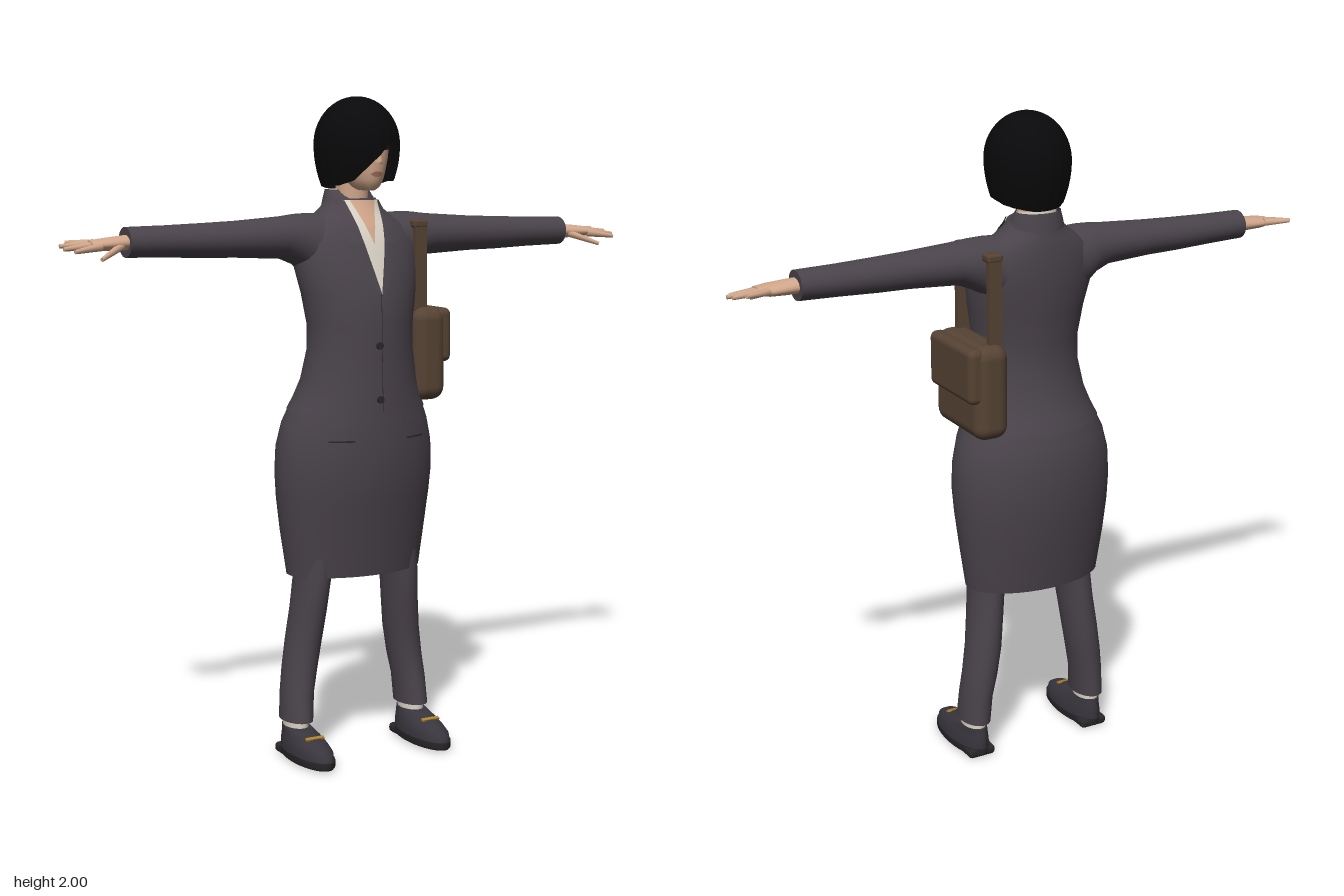
import * as THREE from 'three';
import { RoundedBoxGeometry } from 'three/addons/geometries/RoundedBoxGeometry.js';

const mat = (name, color, side = THREE.FrontSide) => {
  const m = new THREE.MeshStandardMaterial({ color, side });
  m.name = name;
  return m;
};
const suit = mat('suit cloth', 0x4a434b, THREE.DoubleSide);
const shoeLeather = mat('shoe leather', 0x39353d);
const skin = mat('skin', 0xd0a68a);
const cream = mat('cream shirt', 0xdad2c6, THREE.DoubleSide);
const black = mat('black hair', 0x09090b, THREE.DoubleSide);
const brown = mat('bag leather', 0x564334);
const dark = mat('dark trim', 0x2a262b);
const gold = mat('gold trim', 0xb0822f);
const lip = mat('lips', 0xa86f60);

const { lerp } = THREE.MathUtils;

function geometry(pos, idx) {
  const g = new THREE.BufferGeometry();
  g.setAttribute('position', new THREE.Float32BufferAttribute(pos, 3));
  g.setIndex(idx);
  g.computeVertexNormals();
  return g;
}

// Elliptical cross-sections [y, x0, x1, z0, z1], listed from bottom to top
function loft(rows, capped = true, n = 40) {
  const pos = [], idx = [];
  const ring = ([y, x0, x1, z0, z1]) => {
    for (let j = 0; j < n; j++) {
      const a = (j / n) * Math.PI * 2;
      pos.push((x0 + x1 + (x1 - x0) * Math.cos(a)) / 2, y, (z0 + z1 + (z1 - z0) * Math.sin(a)) / 2);
    }
  };
  rows.forEach(ring);
  for (let i = 0; i < rows.length - 1; i++) for (let j = 0; j < n; j++) {
    const a = i * n + j, b = i * n + (j + 1) % n;
    idx.push(a, a + n, b, b, a + n, b + n);
  }
  if (capped) [rows[0], rows[rows.length - 1]].forEach((row, top) => {
    const s = pos.length / 3;
    ring(row);
    for (let j = 1; j < n - 1; j++) idx.push(s, s + j + (top ? 1 : 0), s + j + (top ? 0 : 1));
  });
  return geometry(pos, idx);
}

// Front z of a lofted body at (x, y)
function frontZ(rows, x, y) {
  let i = 0;
  while (i < rows.length - 2 && y > rows[i + 1][0]) i++;
  const t = (y - rows[i][0]) / (rows[i + 1][0] - rows[i][0]);
  const [x0, x1, z0, z1] = [1, 2, 3, 4].map(k => lerp(rows[i][k], rows[i + 1][k], t));
  const u = (2 * x - x0 - x1) / (x1 - x0);
  return (z0 + z1 + (z1 - z0) * Math.sqrt(Math.max(0, 1 - u * u))) / 2;
}

// Thin patch that follows the front of a lofted body, outline rows [y, x0, x1]
function patch(body, outline, lift) {
  const pos = [], idx = [], W = 9, S = 6;
  for (let r = 0; r <= (outline.length - 1) * S; r++) {
    const i = Math.min(Math.floor(r / S), outline.length - 2), t = r / S - i;
    const [y, a, b] = [0, 1, 2].map(k => lerp(outline[i][k], outline[i + 1][k], t));
    for (let j = 0; j < W; j++) {
      const x = lerp(a, b, j / (W - 1));
      pos.push(x, y, frontZ(body, x, y) + lift);
      if (r && j) {
        const q = r * W + j;
        idx.push(q - W - 1, q - W, q - 1, q - 1, q - W, q);
      }
    }
  }
  return geometry(pos, idx);
}

// Tapered round piece between two points
function taper(a, b, r0, r1) {
  const A = new THREE.Vector3(...a), d = new THREE.Vector3(...b).sub(A);
  const g = new THREE.CylinderGeometry(r1, r0, d.length(), 10);
  g.translate(0, d.length() / 2, 0);
  g.applyQuaternion(new THREE.Quaternion().setFromUnitVectors(new THREE.Vector3(0, 1, 0), d.normalize()));
  return g.translate(A.x, A.y, A.z);
}

function box(w, h, d, x, y, z, r = 0) {
  const g = r ? new RoundedBoxGeometry(w, h, d, 4, r) : new THREE.BoxGeometry(w, h, d);
  return g.translate(x, y, z);
}

function mirrored(geo) {
  const g = geo.clone().scale(-1, 1, 1);
  const src = g.index ? Array.from(g.index.array) : Array.from({ length: g.attributes.position.count }, (_, i) => i);
  for (let i = 0; i < src.length; i += 3) [src[i], src[i + 1]] = [src[i + 1], src[i]];
  g.setIndex(src);
  return g;
}

// Bobbed hair: a cap whose lower edge rises over one side of the face
function hairGeometry() {
  const edge = [[0, 1.75], [32, 1.75], [45, 1.9], [80, 1.845], [125, 1.755], [150, 1.74], [200, 1.74], [270, 1.72], [340, 1.74], [360, 1.75]];
  const pos = [], idx = [], N = 120, M = 18;
  for (let i = 0; i <= M; i++) for (let j = 0; j < N; j++) {
    const deg = j * 360 / N, a = deg * Math.PI / 180;
    const k = edge.findIndex(e => e[0] > deg), [p, q] = [edge[k - 1], edge[k]];
    const low = lerp(p[1], q[1], (deg - p[0]) / (q[0] - p[0]));
    const y = 2 - (2 - low) * (1 - Math.cos(i / M * Math.PI / 2));
    const v = y - 1.86;
    let f = v > 0 ? Math.sqrt(Math.max(0, 1 - (v / 0.14) ** 2)) : 1 - 0.2 * (v / 0.13) ** 2;
    f *= 1 + 0.012 * Math.cos(a * 20) * i / M;
    pos.push(-0.01 + 0.125 * f * Math.cos(a), y, 0.017 + 0.137 * f * Math.sin(a));
    if (i) {
      const c = i * N + j, d = i * N + (j + 1) % N;
      idx.push(c, c - N, d, d, c - N, d - N);
    }
  }
  return geometry(pos, idx);
}

export function createModel() {
  const model = new THREE.Group();
  model.name = 'woman in suit';
  const add = (name, geo, material) => {
    const m = new THREE.Mesh(geo, material);
    m.name = name;
    model.add(m);
  };
  const pair = (name, geo, material) => {
    add(name + 'Left', geo, material);
    add(name + 'Right', mirrored(geo), material);
  };
  const sym = ([y, r, zf, zb]) => [y, -r, r, zb, zf];

  // Skirt and jacket
  const skirt = [[0.565, 0.222, 0.105, -0.153], [0.7, 0.241, 0.124, -0.175], [0.8, 0.252, 0.143, -0.19],
    [0.88, 0.257, 0.155, -0.196], [0.96, 0.253, 0.157, -0.195], [1.03, 0.236, 0.156, -0.185], [1.1, 0.205, 0.153, -0.16]].map(sym);
  const jacket = [[1.07, 0.221, 0.158, -0.174], [1.11, 0.202, 0.157, -0.158], [1.16, 0.185, 0.155, -0.135], [1.25, 0.168, 0.152, -0.115],
    [1.33, 0.168, 0.152, -0.115], [1.42, 0.183, 0.146, -0.125], [1.5, 0.2, 0.122, -0.135], [1.57, 0.2, 0.1, -0.135],
    [1.62, 0.172, 0.077, -0.132], [1.65, 0.125, 0.058, -0.127], [1.675, 0.092, 0.045, -0.122], [1.7, 0.078, 0.034, -0.118]].map(sym);
  add('skirt', loft(skirt, false), suit);
  add('jacket', loft(jacket), suit);
  add('jacketCollar', loft([[1.67, -0.088, 0.088, -0.124, 0.03], [1.7, -0.08, 0.08, -0.12, 0.015], [1.725, -0.07, 0.07, -0.115, -0.01]], false), suit);

  // Open neckline, lapels, pockets and buttons
  add('shirtFront', patch(jacket, [[1.42, -0.002, 0.002], [1.56, -0.036, 0.036], [1.695, -0.06, 0.06]], 0.005), cream);
  add('throat', patch(jacket, [[1.57, -0.001, 0.001], [1.64, -0.022, 0.022], [1.695, -0.042, 0.042]], 0.008), skin);
  pair('lapel', patch(jacket, [[1.42, 0, 0.008], [1.56, 0.032, 0.09], [1.585, 0.037, 0.07], [1.695, 0.056, 0.077]], 0.011), suit);
  pair('pocketFlap', patch(skirt, [[0.99, 0.09, 0.16], [1.05, 0.09, 0.16]], 0.005), suit);
  pair('pocketEdge', patch(skirt, [[0.986, 0.088, 0.162], [0.991, 0.088, 0.162]], 0.006), dark);
  add('frontSeam', patch(jacket, [[1.075, -0.001, 0.001], [1.42, -0.001, 0.001]], 0.004), dark);
  for (const y of [1.11, 1.27]) {
    add('button', new THREE.CylinderGeometry(0.011, 0.011, 0.008, 16).rotateX(Math.PI / 2).translate(-0.008, y, frontZ(jacket, 0, y) + 0.004), dark);
  }

  // Sleeves and cuffs, lofted upright then laid along x: [x, yLow, yHigh, zBack, zFront]
  const sideways = rows => loft(rows.map(([x, lo, hi, b, f]) => [x, -hi, -lo, b, f])).rotateZ(-Math.PI / 2);
  pair('sleeve', sideways([[0.1, 1.45, 1.655, -0.11, 0.06], [0.16, 1.47, 1.658, -0.105, 0.055], [0.2, 1.505, 1.656, -0.097, 0.05],
    [0.25, 1.525, 1.65, -0.088, 0.049], [0.4, 1.533, 1.64, -0.076, 0.045], [0.5, 1.535, 1.636, -0.072, 0.04],
    [0.62, 1.54, 1.632, -0.067, 0.036], [0.742, 1.543, 1.63, -0.062, 0.035]]), suit);

  // Hands
  pair('palm', sideways([[0.72, 1.565, 1.61, -0.045, 0.02], [0.77, 1.563, 1.605, -0.043, 0.028],
    [0.82, 1.565, 1.6, -0.044, 0.036], [0.855, 1.57, 1.595, -0.036, 0.03]]), skin);
  const fingers = [[[0.83, 1.585, -0.033], [0.905, 1.588, -0.062]], [[0.84, 1.584, -0.014], [0.933, 1.58, -0.028]],
    [[0.84, 1.582, 0.006], [0.935, 1.573, 0.012]], [[0.83, 1.578, 0.025], [0.915, 1.567, 0.048]], [[0.765, 1.578, 0.015], [0.845, 1.545, 0.07]]];
  for (const [a, b] of fingers) pair('finger', taper(a, b, 0.012, 0.006), skin);

  // Trouser legs, socks and shoes
  pair('trouserLeg', loft([[0.115, 0.158, 0.25, -0.09, 0.055], [0.2, 0.15, 0.246, -0.09, 0.044], [0.27, 0.135, 0.238, -0.094, 0.038],
    [0.36, 0.12, 0.226, -0.095, 0.042], [0.46, 0.11, 0.212, -0.092, 0.06], [0.56, 0.102, 0.202, -0.09, 0.075], [0.72, 0.08, 0.195, -0.09, 0.08]]), suit);
  pair('sock', loft([[0.07, 0.17, 0.24, -0.07, 0.035], [0.13, 0.17, 0.24, -0.07, 0.035]]), cream);
  pair('shoeSole', loft([[0.006, 0.15, 0.258, -0.082, 0.195], [0.012, 0.146, 0.262, -0.086, 0.2], [0.03, 0.146, 0.262, -0.086, 0.2]]), dark);
  pair('shoeHeel', box(0.09, 0.03, 0.07, 0.204, 0.015, -0.045, 0.012), dark);
  pair('shoeUpper', loft([[0.03, 0.149, 0.259, -0.083, 0.196], [0.05, 0.15, 0.258, -0.084, 0.19], [0.065, 0.155, 0.253, -0.083, 0.165],
    [0.08, 0.16, 0.248, -0.08, 0.12], [0.095, 0.167, 0.243, -0.078, 0.06]]), shoeLeather);
  pair('shoeBuckle', box(0.06, 0.006, 0.012, 0.204, 0, 0).rotateX(0.3).translate(0, 0.083, 0.106), gold);

  // Neck and shirt collar
  add('neck', loft([[1.62, -0.055, 0.055, -0.09, 0.03], [1.7, -0.048, 0.048, -0.085, 0.022], [1.8, -0.048, 0.048, -0.085, 0.03]]), skin);
  add('shirtCollar', loft([[1.66, -0.068, 0.068, -0.108, 0.02], [1.728, -0.058, 0.058, -0.1, -0.02]], false), cream);

  // Head and face
  const head = [[1.725, 0.02, 0.095, 0.02], [1.735, 0.036, 0.108, 0], [1.755, 0.05, 0.118, -0.03], [1.78, 0.061, 0.123, -0.06],
    [1.82, 0.074, 0.126, -0.085], [1.87, 0.081, 0.126, -0.095], [1.92, 0.077, 0.12, -0.095], [1.96, 0.05, 0.08, -0.07]].map(sym);
  add('head', loft(head), skin);
  add('nose', loft([[1.803, -0.013, 0.013, 0.11, 0.143], [1.812, -0.013, 0.013, 0.11, 0.147], [1.865, -0.006, 0.006, 0.11, 0.13]], true, 16), skin);
  add('mouth', patch(head, [[1.765, -0.008, 0.008], [1.773, -0.021, 0.021], [1.781, -0.008, 0.008]], 0.004), lip);
  pair('eye', patch(head, [[1.843, 0.026, 0.042], [1.849, 0.019, 0.051], [1.855, 0.026, 0.046]], 0.004), dark);
  pair('eyebrow', patch(head, [[1.869, 0.018, 0.05], [1.874, 0.02, 0.054]], 0.004), black);
  add('hair', hairGeometry(), black);

  // Shoulder bag
  add('bagBody', box(0.11, 0.285, 0.285, 0.21, 1.2275, -0.042, 0.04), brown);
  add('bagFlap', box(0.05, 0.165, 0.265, 0.26, 1.283, -0.042, 0.02), brown);
  for (const [z, inward] of [[0.055, -1], [-0.142, 1]]) {
    add('bagStrap', box(0.042, 0.34, 0.018, 0.188, 1.46, z), brown);
    add('strapEnd', box(0.048, 0.025, 0.045, 0.188, 1.622, z + inward * 0.012, 0.008), brown);
  }
  return model;
}
